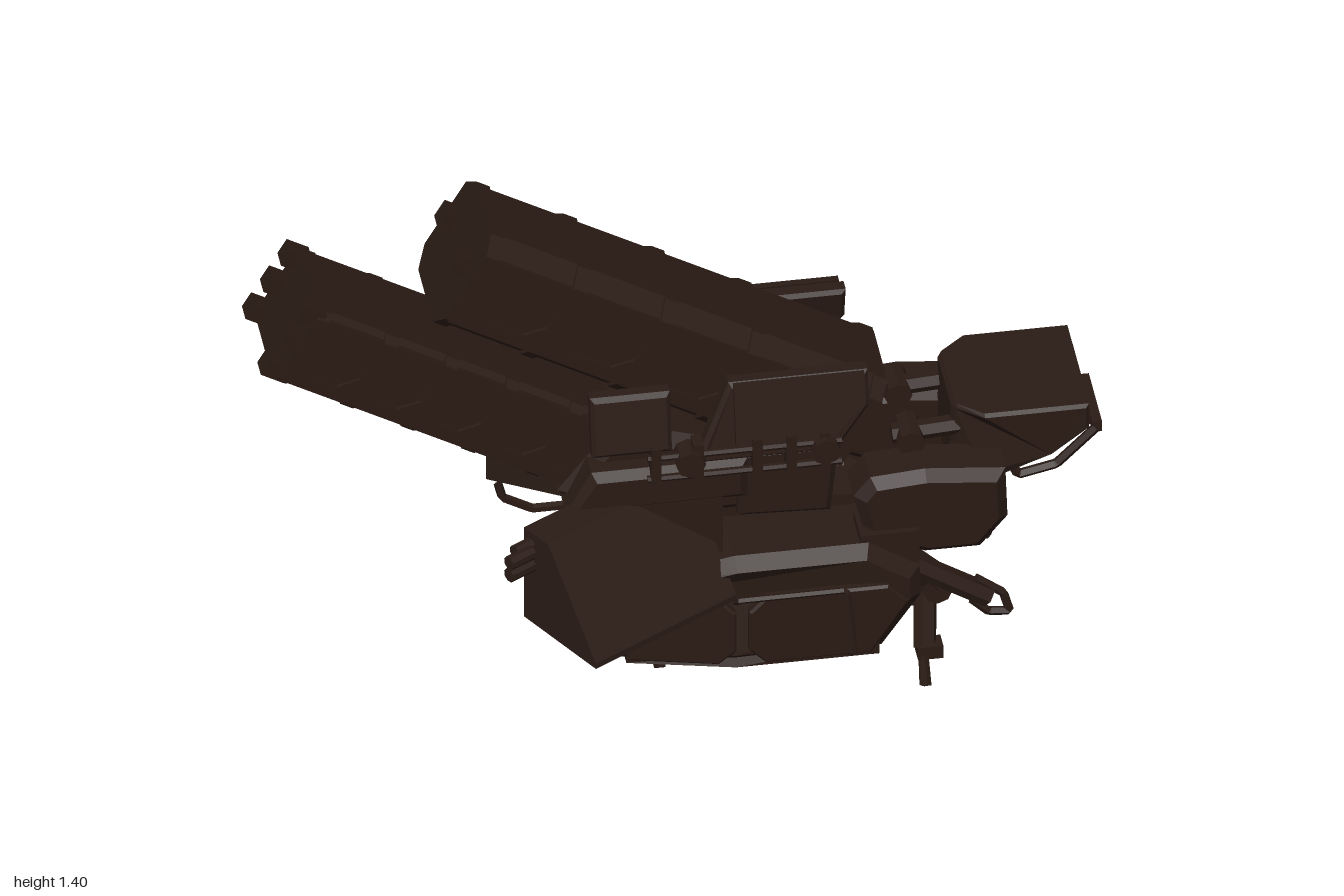
import * as THREE from 'three';

const material = new THREE.MeshStandardMaterial({ color: 0x2a1b15, flatShading: true, side: THREE.DoubleSide });
const V = (x, y, z) => new THREE.Vector3(x, y, z);

// Box between two corners
function block(x0, x1, y0, y1, z0, z1) {
  return new THREE.BoxGeometry(x1 - x0, y1 - y0, z1 - z0).translate((x0 + x1) / 2, (y0 + y1) / 2, (z0 + z1) / 2);
}

// Side profile in x, y drawn out from z0 to z1 with chamfered rims
function prism(points, z0, z1, bevel = 0) {
  const shape = new THREE.Shape(points.map(([x, y]) => new THREE.Vector2(x, y)));
  return new THREE.ExtrudeGeometry(shape, {
    depth: z1 - z0 - 2 * bevel, bevelEnabled: bevel > 0, bevelThickness: bevel,
    bevelSize: bevel, bevelOffset: -bevel, bevelSegments: 1,
  }).translate(0, 0, z0 + bevel);
}

// Shift each vertex sideways by a rule
function warpZ(geometry, rule) {
  const p = geometry.attributes.position;
  for (let i = 0; i < p.count; i++) p.setZ(i, rule(p.getX(i), p.getY(i), p.getZ(i)));
  geometry.computeVertexNormals();
  return geometry;
}

// Bar between two points
function bar(a, b, r, sides = 6) {
  const d = b.clone().sub(a);
  const g = new THREE.CylinderGeometry(r, r, d.length(), sides);
  g.applyQuaternion(new THREE.Quaternion().setFromUnitVectors(V(0, 1, 0), d.clone().normalize()));
  return g.translate(...a.clone().add(b).multiplyScalar(0.5).toArray());
}

// Angular pipe through several points
function pipe(points, r) {
  const path = new THREE.CurvePath();
  points.slice(1).forEach((p, i) => path.add(new THREE.LineCurve3(points[i], p)));
  return new THREE.TubeGeometry(path, points.length * 8, r, 5);
}

// Reflected copy across z = 0 with the faces turned back outwards
function mirrored(geometry) {
  const g = geometry.index ? geometry.toNonIndexed() : geometry.clone();
  g.scale(1, 1, -1);
  const p = g.attributes.position;
  for (let i = 0; i < p.count; i += 3) {
    const a = V().fromBufferAttribute(p, i + 1), b = V().fromBufferAttribute(p, i + 2);
    p.setXYZ(i + 1, b.x, b.y, b.z);
    p.setXYZ(i + 2, a.x, a.y, a.z);
  }
  g.computeVertexNormals();
  return g;
}

function add(parent, name, geometry) {
  const mesh = new THREE.Mesh(geometry, material);
  mesh.name = name;
  parent.add(mesh);
}
function pair(parent, name, geometry) {
  add(parent, name + 'Left', geometry);
  add(parent, name + 'Right', mirrored(geometry));
}

// Tilted pod running along local x from its upper rear corner, with recessed side panels
function makePod(name, x, y, length, height, half, chamfer, ribs) {
  const pod = new THREE.Group();
  pod.name = name;
  pod.position.set(x, y, 0);
  pod.rotation.z = -Math.PI / 6;
  const section = (w, inset, x0, x1) => {
    const c = chamfer, b = -height + inset, t = -inset;
    const outline = [[-w, b + c], [-w + c, b], [w - c, b], [w, b + c], [w, t - c * 0.8], [w - c, t], [-w + c, t], [-w, t - c * 0.8]];
    return prism(outline, x0, x1).rotateY(Math.PI / 2);
  };
  add(pod, 'podShell', section(half - 0.01, 0.002, 0.01, length));
  ribs.forEach((r) => add(pod, 'podRib', section(half, 0, r * length, r * length + 0.035)));
  for (const yy of [-chamfer - 0.012, -height + chamfer + 0.012]) {
    pair(pod, 'podRail', block(0.01, length, yy - 0.018, yy + 0.018, half - 0.03, half - 0.001));
  }
  // Corner gussets turn each recess into a hexagon
  ribs.slice(1).forEach((r, i) => {
    for (const [rx, s] of [[ribs[i] * length + 0.035, 1], [r * length, -1]]) {
      for (const [gy, d] of [[-chamfer - 0.02, -1], [-height + chamfer + 0.02, 1]]) {
        pair(pod, 'podGusset', prism([[rx, gy], [rx + s * 0.05, gy], [rx, gy + d * 0.05]], half - 0.02, half - 0.001));
      }
    }
  });
  add(pod, 'rearPlate', block(-0.005, 0.02, -height + 0.05, -0.05, -half + 0.06, half - 0.06));
  return pod;
}

export function createModel() {
  const model = new THREE.Group();
  model.name = 'carrierCraft';

  // Upper and lower pods
  const upper = makePod('upperPod', -0.45, 1.4, 1.085, 0.277, 0.148, 0.045, [0, 0.22, 0.44, 0.66, 0.965]);
  pair(upper, 'rearKnob', block(-0.04, 0.02, -0.13, -0.08, 0.06, 0.11));
  model.add(upper);
  const lower = makePod('lowerPod', -0.86, 1.243, 0.92, 0.22, 0.14, 0.02, [0, 0.2, 0.38, 0.56, 0.75]);
  for (const y of [-0.022, -0.105, -0.19]) {
    pair(lower, 'rearNozzle', block(-0.04, 0.02, y - 0.022, y + 0.022, 0.085, 0.135));
  }
  model.add(lower);

  // Central hull under the pods
  add(model, 'centralHull', prism([[-0.3, 0.66], [-0.2, 0.56], [0.12, 0.56], [0.34, 0.56], [0.35, 0.7], [0.1, 0.76], [-0.16, 0.84]], -0.17, 0.17, 0.03));
  add(model, 'keelBlock', block(-0.1, 0.44, 0.32, 0.5, -0.055, 0.055));
  pair(model, 'keelStrut', bar(V(0, 0.48, 0.04), V(0, 0.58, 0.13), 0.025));
  pair(model, 'hullStrut', bar(V(0.2, 0.47, 0.03), V(0.2, 0.47, 0.18), 0.025));
  pair(model, 'hullMount', block(-0.2, 0.08, 0.42, 0.66, 0.13, 0.22));

  // Upper side housings, leaning inwards towards the top
  const lean = (g) => warpZ(g, (x, y, z) => z - Math.max(0, y - 0.8) * 0.22);
  pair(model, 'rearFlank', lean(prism([[-0.23, 0.8], [-0.23, 0.95], [-0.04, 0.95], [-0.04, 0.8]], 0.18, 0.225, 0.01)));
  pair(model, 'frontFlank', lean(prism([[0.03, 0.79], [0.1, 0.95], [0.43, 0.95], [0.43, 0.86], [0.35, 0.75], [0.03, 0.75]], 0.165, 0.215, 0.01)));
  pair(model, 'flankFin', lean(prism([[0.11, 0.8], [0.11, 0.95], [0.42, 0.95], [0.42, 0.88], [0.34, 0.8]], 0.21, 0.228)));
  pair(model, 'lowerFlank', prism([[0.12, 0.57], [0.12, 0.76], [0.36, 0.76], [0.34, 0.56]], 0.13, 0.2, 0.015));
  pair(model, 'midFlank', prism([[-0.29, 0.64], [-0.23, 0.75], [0.14, 0.75], [0.14, 0.64]], 0.12, 0.225, 0.02));
  for (const y of [0.73, 0.79]) pair(model, 'flankRail', bar(V(-0.1, y, 0.225), V(0.36, y, 0.225), 0.009));
  for (const x of [-0.08, 0.02, 0.16, 0.24, 0.32]) {
    pair(model, 'railPost', block(x - 0.012, x + 0.012, 0.72, 0.82, 0.19, 0.235));
  }
  for (const x of [0, 0.32]) pair(model, 'flankKnob', bar(V(x, 0.775, 0.19), V(x, 0.775, 0.25), 0.035, 8));

  // Swept rear fairings, each a sloped wedge turned outwards
  const wedge = prism([[0, 0.4], [0.265, 0.4], [0.265, 0.415], [0.09, 0.66], [0, 0.66]], 0, 0.425);
  wedge.applyMatrix4(new THREE.Matrix4().makeBasis(V(0.5, 0, 0.866), V(0, 1, 0), V(0.866, 0, -0.5)).setPosition(-0.4, 0, 0.27));
  pair(model, 'sweptFairing', wedge);
  for (const [x, z] of [[-0.43, 0.345], [-0.41, 0.305]]) {
    for (const y of [0.59, 0.625]) pair(model, 'rearThruster', bar(V(x - 0.02, y, z + 0.012), V(x + 0.04, y, z - 0.022), 0.018, 8));
  }
  pair(model, 'rearHandle', pipe([V(-0.38, 0.42, 0.22), V(-0.37, 0.38, 0.22), V(-0.3, 0.34, 0.22), V(-0.21, 0.34, 0.22), V(-0.2, 0.42, 0.22)], 0.011));

  // Lower side hulls with outer armour, drawn in towards the tail
  const tail = (g) => warpZ(g, (x, y, z) => z - Math.max(0, z - 0.07) * Math.max(0, 0.1 - x) * 1.1);
  const hullProfile = [[-0.16, 0.2], [-0.16, 0.41], [0.1, 0.5], [0.42, 0.5], [0.54, 0.42], [0.545, 0.34], [0.45, 0.2], [0.1, 0.2]];
  pair(model, 'sideHull', tail(prism(hullProfile, 0.065, 0.28, 0.03)));
  pair(model, 'hullBase', tail(prism([[-0.15, 0.2], [0.1, 0.2], [0.44, 0.2], [0.44, 0.24], [0.1, 0.24], [-0.15, 0.24]], 0.09, 0.285)));
  pair(model, 'armourRear', tail(prism([[-0.15, 0.21], [-0.15, 0.4], [0.06, 0.4], [0.1, 0.36], [0.1, 0.25], [0.06, 0.21]], 0.265, 0.294, 0.006)));
  pair(model, 'armourFront', prism([[0.13, 0.25], [0.13, 0.36], [0.17, 0.4], [0.46, 0.4], [0.51, 0.35], [0.42, 0.21], [0.17, 0.21]], 0.265, 0.294, 0.006));
  pair(model, 'armourRail', pipe([V(0.1, 0.38, 0.27), V(0.11, 0.405, 0.3), V(0.36, 0.405, 0.3), V(0.38, 0.22, 0.3), V(0.36, 0.21, 0.27)], 0.008));
  pair(model, 'frontVent', block(0.5, 0.535, 0.28, 0.39, 0.09, 0.22));
  pair(model, 'deckBracket', block(0.4, 0.54, 0.43, 0.52, 0.15, 0.25));

  // Underside fittings and step
  for (const x of [-0.07, 0.11, 0.15, 0.2]) pair(model, 'underStud', block(x - 0.013, x + 0.013, 0.172, 0.22, 0.1, 0.22));
  pair(model, 'step', block(0.27, 0.43, 0.168, 0.18, 0.1, 0.22));
  for (const x of [0.31, 0.39]) pair(model, 'stepLeg', block(x - 0.01, x + 0.01, 0.17, 0.21, 0.13, 0.19));

  // Forward booms that carry the cabin
  pair(model, 'boom', prism([[0.39, 0.61], [0.43, 0.66], [0.56, 0.67], [0.75, 0.65], [0.755, 0.51], [0.69, 0.43], [0.56, 0.43], [0.42, 0.49]], 0.09, 0.235, 0.025));
  add(model, 'boomBridge', prism([[0.64, 0.65], [0.75, 0.63], [0.75, 0.56], [0.68, 0.53], [0.64, 0.56]], -0.12, 0.12));
  pair(model, 'boomLink', bar(V(0.5, 0.69, 0.09), V(0.66, 0.7, 0.09), 0.024));
  pair(model, 'boomJoint', bar(V(0.54, 0.69, 0.05), V(0.54, 0.69, 0.14), 0.033, 8));

  // Cabin, narrower at the back and along the belly, with brow and bumper
  const taper = (x, y, z) => z * (1 - Math.max(0, 0.71 - x) * 5.5) * (1 - Math.max(0, 0.64 - y) * 2.5);
  add(model, 'cabin', warpZ(prism([[0.64, 0.6], [0.64, 0.76], [0.65, 0.77], [0.71, 0.77], [0.957, 0.77], [0.957, 0.7], [0.87, 0.63], [0.76, 0.57], [0.71, 0.58]], -0.162, 0.162, 0.008), taper));
  add(model, 'cabinBrow', block(0.93, 0.965, 0.69, 0.735, -0.13, 0.13));
  add(model, 'bumperBar', block(0.975, 0.998, 0.64, 0.668, -0.095, 0.095));
  pair(model, 'bumperArm', pipe([V(0.78, 0.58, 0.09), V(0.8, 0.535, 0.09), V(0.89, 0.555, 0.09), V(0.985, 0.65, 0.09)], 0.012));

  // Folding arms with grippers and a forward hook
  pair(model, 'shoulder', bar(V(0.5, 0.36, 0.08), V(0.5, 0.36, 0.17), 0.045, 8));
  pair(model, 'upperArm', bar(V(0.5, 0.37, 0.11), V(0.61, 0.27, 0.12), 0.035));
  pair(model, 'elbow', bar(V(0.6, 0.26, 0.08), V(0.6, 0.26, 0.15), 0.035, 8));
  pair(model, 'forearm', bar(V(0.58, 0.26, 0.09), V(0.57, 0.1, 0.145), 0.028));
  pair(model, 'wrist', block(0.55, 0.61, 0.08, 0.115, 0.125, 0.17));
  pair(model, 'gripperOuter', bar(V(0.565, 0.1, 0.155), V(0.565, 0.03, 0.205), 0.011, 4));
  pair(model, 'gripperInner', bar(V(0.565, 0.1, 0.145), V(0.565, 0.004, 0.165), 0.011, 4));
  pair(model, 'hookArm', bar(V(0.54, 0.35, 0.15), V(0.72, 0.235, 0.15), 0.028));
  pair(model, 'hook', pipe([V(0.68, 0.23, 0.15), V(0.72, 0.19, 0.15), V(0.77, 0.185, 0.15), V(0.755, 0.24, 0.15), V(0.69, 0.29, 0.15)], 0.011));

  return model;
}
